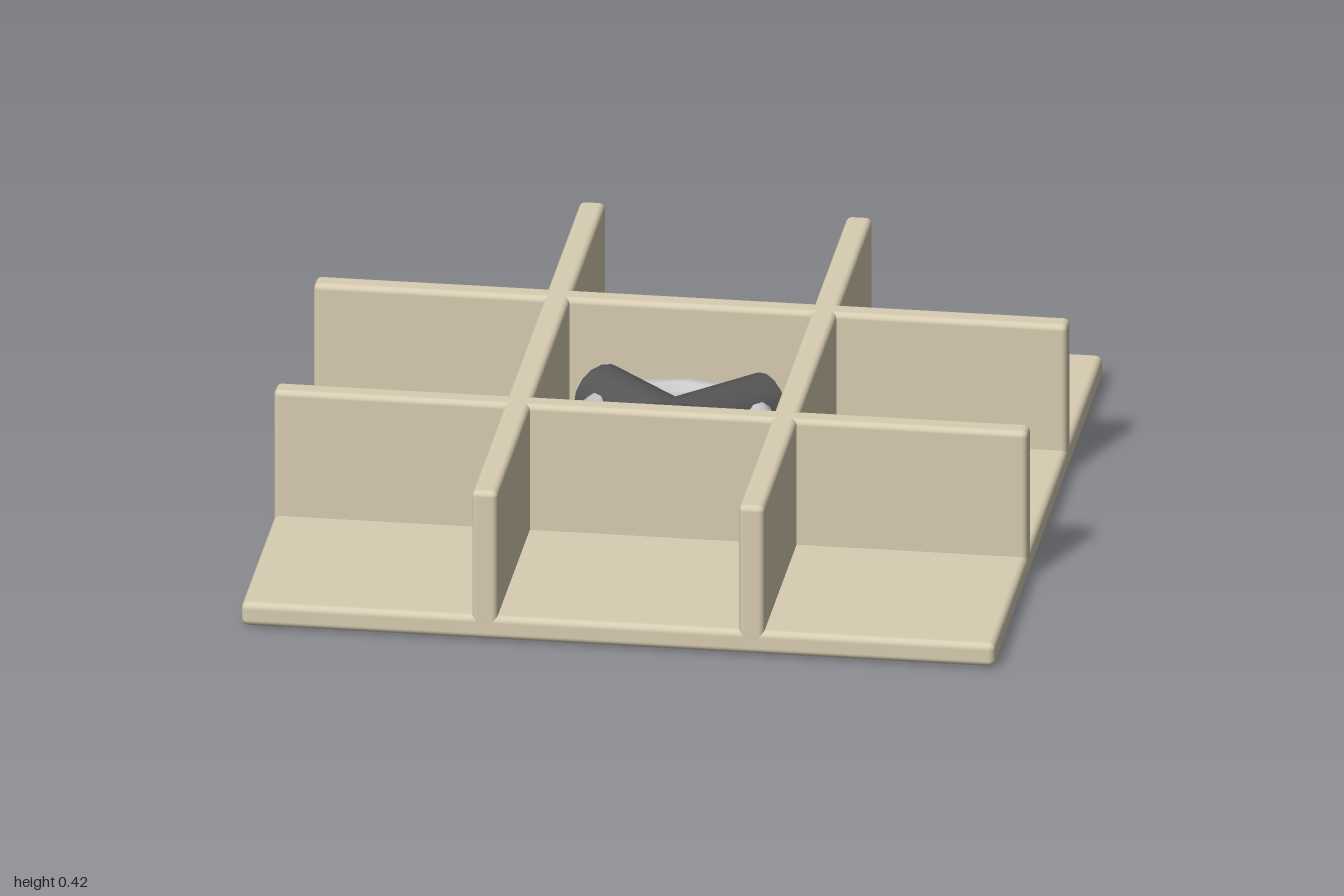
import * as THREE from 'three';
import { RoundedBoxGeometry } from 'three/addons/geometries/RoundedBoxGeometry.js';

const mat = (color) => new THREE.MeshStandardMaterial({ color });

export function createModel() {
  const group = new THREE.Group();
  const tan = mat(0xd8cdb2), dark = mat(0x555555), grey = mat(0xcccccc);

  const add = (name, geometry, material, x = 0, y = 0, z = 0) => {
    const mesh = new THREE.Mesh(geometry, material);
    mesh.name = name;
    mesh.position.set(x, y, z);
    group.add(mesh);
    return mesh;
  };

  // Square floor plate
  add('basePlate', new RoundedBoxGeometry(2, 0.066, 2, 3, 0.018), tan, 0, 0.037, 0);

  // Crossing dividers, two in each direction
  for (const s of [-1, 1]) {
    add('lengthwiseWall', new RoundedBoxGeometry(0.068, 0.385, 2, 3, 0.016), tan, s * 0.354, 0.2325, 0);
    add('crosswiseWall', new RoundedBoxGeometry(2, 0.385, 0.066, 3, 0.016), tan, 0, 0.2325, s * 0.366);
  }

  // Twelve-segment ring in the middle cell
  const ring = new THREE.TorusGeometry(0.242, 0.043, 10, 12);
  ring.rotateX(Math.PI / 2);
  add('ring', ring, grey, 0, 0.21, 0);

  // Two crossed round bars holding the ring
  for (const s of [-1, 1]) {
    const bar = new THREE.CylinderGeometry(0.09, 0.09, 0.62, 16);
    bar.rotateX(Math.PI / 2);
    bar.rotateY(s * Math.PI / 4);
    add('crossBar', bar, dark, 0, 0.2, 0);
  }

  // Thin raised ring under the floor, with a small gap
  const shape = new THREE.Shape();
  const gap = 0.06, mid = Math.PI / 4;
  shape.absarc(0, 0, 0.28, mid + gap, mid + 2 * Math.PI - gap, false);
  shape.absarc(0, 0, 0.215, mid + 2 * Math.PI - gap, mid + gap, true);
  const mark = new THREE.ExtrudeGeometry(shape, { depth: 0.012, bevelEnabled: false, curveSegments: 40 });
  mark.rotateX(-Math.PI / 2);
  add('undersideRing', mark, grey);

  return group;
}
